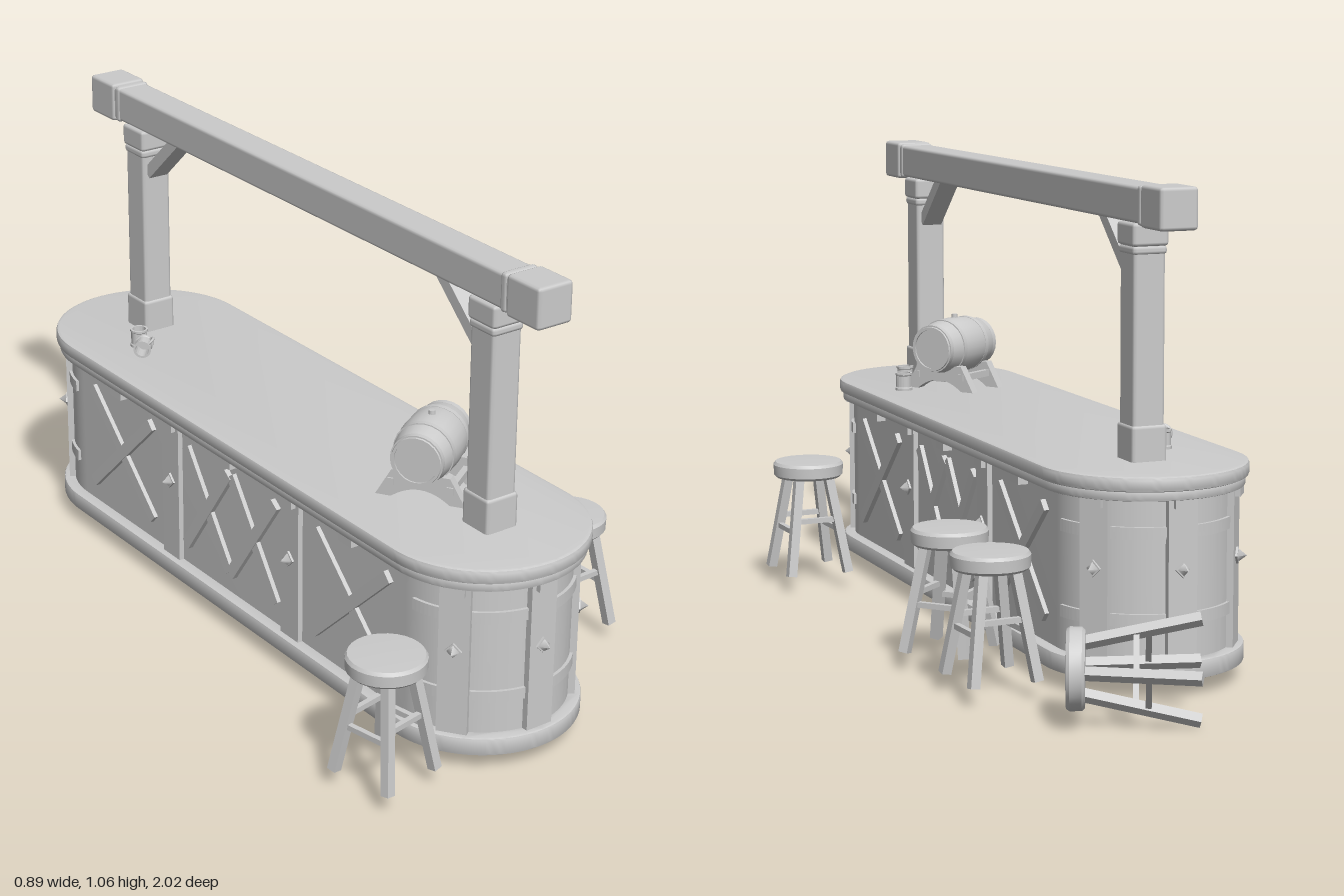
import * as THREE from 'three';
import { toCreasedNormals } from 'three/addons/utils/BufferGeometryUtils.js';
import { RoundedBoxGeometry } from 'three/addons/geometries/RoundedBoxGeometry.js';

const material = new THREE.MeshStandardMaterial({ color: 0xcccccc });
const UP = new THREE.Vector3(0, 1, 0);
const V = (x, y, z) => new THREE.Vector3(x, y, z);
const HALF = 0.63; // half of the straight part of the counter

function add(parent, name, geometry, x = 0, y = 0, z = 0) {
  const mesh = new THREE.Mesh(geometry, material);
  mesh.name = name;
  mesh.position.set(x, y, z);
  parent.add(mesh);
  return mesh;
}

function group(parent, name, x = 0, y = 0, z = 0) {
  const g = new THREE.Group();
  g.name = name;
  g.position.set(x, y, z);
  parent.add(g);
  return g;
}

// Square bar running from a to b
function bar(parent, name, a, b, w, d = w) {
  const dir = b.clone().sub(a);
  const mesh = add(parent, name, new THREE.BoxGeometry(w, dir.length(), d));
  mesh.position.copy(a).add(b).multiplyScalar(0.5);
  mesh.quaternion.setFromUnitVectors(UP, dir.normalize());
  return mesh;
}

const lathe = (points, sides) => toCreasedNormals(
  new THREE.LatheGeometry(points.map(p => new THREE.Vector2(...p)), sides), 0.6);

// Long outline with round ends
function outline(r, target = new THREE.Shape()) {
  target.absarc(0, HALF, r, 0, Math.PI);
  target.absarc(0, -HALF, r, Math.PI, Math.PI * 2);
  target.closePath();
  return target;
}

// Slab or hollow ring of the outline between heights y0 and y1
function slab(parent, name, r, y0, y1, bevel = 0, inner = 0) {
  const shape = outline(r - bevel);
  if (inner) shape.holes.push(outline(inner, new THREE.Path()));
  const geometry = new THREE.ExtrudeGeometry(shape, {
    depth: y1 - y0 - 2 * bevel, curveSegments: 32, bevelEnabled: bevel > 0,
    bevelSize: bevel, bevelThickness: bevel, bevelSegments: 2,
  });
  geometry.translate(0, 0, bevel).rotateX(-Math.PI / 2);
  add(parent, name, toCreasedNormals(geometry, 0.5), 0, y0, 0);
}

// Group on the counter wall whose local +z points outward
function wallSpot(parent, name, phi, z0, r = 0.195) {
  const g = group(parent, name, r * Math.sin(phi), 0, z0 + r * Math.cos(phi));
  g.rotation.y = phi;
  return g;
}

function wallPost(parent, phi, z0) {
  const g = wallSpot(parent, 'wallPost', phi, z0);
  add(g, 'postBoard', new THREE.BoxGeometry(0.066, 0.35, 0.024), 0, 0.215, 0);
  add(g, 'topBracket', new THREE.BoxGeometry(0.045, 0.02, 0.03), 0, 0.38, 0.008);
  add(g, 'studPlate', new THREE.BoxGeometry(0.026, 0.026, 0.006), 0, 0.24, 0.014).rotation.z = Math.PI / 4;
  add(g, 'stud', new THREE.ConeGeometry(0.014, 0.018, 4).toNonIndexed(), 0, 0.24, 0.026)
    .rotation.x = Math.PI / 2;
}

function crossPanel(parent, side, z0, width, crosses) {
  const g = wallSpot(parent, 'crossPanel', side * Math.PI / 2, z0);
  const step = width / crosses;
  for (let i = 0; i < crosses; i++) {
    const c = -width / 2 + step * (i + 0.5);
    for (const s of [-1, 1]) {
      bar(g, 'crossBrace', V(c - s * step * 0.48, 0.1, s * 0.001),
        V(c + s * step * 0.48, 0.345, s * 0.001), 0.028, 0.022);
    }
  }
  add(g, 'topBracket', new THREE.BoxGeometry(0.045, 0.02, 0.03), 0, 0.38, 0.008);
}

// Curved strap around a round end
function strap(parent, end, from, to, y) {
  const shape = new THREE.Shape();
  shape.absarc(0, 0, 0.202, from, to, false);
  shape.absarc(0, 0, 0.183, to, from, true);
  const geometry = new THREE.ExtrudeGeometry(shape, { depth: 0.026, bevelEnabled: false, curveSegments: 10 });
  geometry.rotateX(-Math.PI / 2);
  add(parent, 'strap', toCreasedNormals(geometry, 0.5), 0, y, end * HALF);
}

function makeCounter(root) {
  const g = group(root, 'counter', -0.022, 0, 0.13);
  slab(g, 'plinth', 0.222, 0.006, 0.046, 0.004, 0.19);
  slab(g, 'wall', 0.195, 0.03, 0.4, 0, 0.186);
  slab(g, 'topLip', 0.222, 0.388, 0.41, 0.004);
  slab(g, 'counterTop', 0.23, 0.408, 0.44, 0.007);
  const tilt = 0.93;
  for (const end of [-1, 1]) {
    const base = end > 0 ? 0 : Math.PI;
    for (const a of [-tilt, 0, tilt]) wallPost(g, base + a, end * HALF);
    // Straps fill the gaps between the end posts
    for (const y of [0.12, 0.304]) {
      for (const a of [-1.43, -0.76, 0.17, 1.1]) {
        const c = -end * Math.PI / 2 + a;
        strap(g, end, c, c + (Math.abs(a) > 1 ? 0.33 : 0.59), y);
      }
    }
  }
  for (const side of [-1, 1]) {
    for (const z of [-0.235, 0.235]) wallPost(g, side * Math.PI / 2, z);
    crossPanel(g, side, 0, 0.36, 2);
    for (const z of [-0.45, 0.45]) crossPanel(g, side, z, 0.27, 1);
  }
}

function makeFrame(root) {
  const g = group(root, 'overheadFrame', -0.02, 0, 0.138);
  const block = (name, w, h, d, y, z) =>
    add(g, name, new RoundedBoxGeometry(w, h, d, 1, 0.008), 0, y, z);
  block('beam', 0.078, 0.078, 1.6, 0.984, 0);
  for (const s of [-1, 1]) {
    const z = s * 0.645;
    block('beamEnd', 0.088, 0.09, 0.1, 0.984, s * 0.772);
    block('beamBand', 0.084, 0.085, 0.02, 0.984, s * 0.71);
    block('post', 0.074, 0.49, 0.074, 0.69, z);
    block('postFoot', 0.082, 0.085, 0.084, 0.475, z);
    block('postNeck', 0.08, 0.02, 0.08, 0.887, z);
    block('postCap', 0.084, 0.05, 0.086, 0.92, z);
    bar(g, 'brace', V(0, 0.84, s * 0.61), V(0, 0.955, s * 0.485), 0.05, 0.028);
  }
}

function makeStool(root, x, y, z, turn) {
  const g = group(root, 'stool', x, y, z);
  g.rotation.y = turn;
  add(g, 'seat', lathe([[0, 0.232], [0.078, 0.232], [0.084, 0.238], [0.085, 0.263],
    [0.08, 0.27], [0, 0.273]], 28));
  const leg = (i, h) => {
    const a = (i + 0.5) * Math.PI / 2;
    const r = 0.103 - 0.05 * h / 0.235;
    return V(r * Math.cos(a), h, r * Math.sin(a));
  };
  for (let i = 0; i < 4; i++) {
    bar(g, 'leg', leg(i, 0), leg(i, 0.236), 0.021);
    const h = i % 2 ? 0.105 : 0.13;
    bar(g, 'rung', leg(i, h), leg(i + 1, h), 0.012);
  }
  return g;
}

function makeMug(root, x, y, z, turn) {
  const g = group(root, 'mug', x, y, z);
  g.rotation.y = turn;
  add(g, 'cup', lathe([[0, 0], [0.021, 0], [0.021, 0.006], [0.019, 0.008], [0.019, 0.036],
    [0.021, 0.038], [0.021, 0.043], [0.016, 0.043], [0.016, 0.005], [0, 0.005]], 18));
  add(g, 'handle', new THREE.TorusGeometry(0.013, 0.0035, 6, 14, Math.PI), 0.018, 0.022, 0)
    .rotation.z = -Math.PI / 2;
  return g;
}

function makeBarrel(root) {
  // Local x runs along the barrel
  const g = group(root, 'barrelOnCradle', -0.02, 0.44, 0.585);
  g.rotation.y = 0.58;
  const points = [[0, -0.09], [0.048, -0.09], [0.048, -0.1]];
  for (let i = -5; i <= 5; i++) points.push([0.069 - 0.015 * (i / 5) ** 2, i * 0.02]);
  points.push([0.048, 0.1], [0.048, 0.09], [0, 0.09]);
  add(g, 'barrel', lathe(points, 24), 0, 0.105, 0).rotation.z = Math.PI / 2;
  for (const x of [-0.09, -0.045, 0.045, 0.09]) {
    const r = 0.0705 - 0.015 * (x / 0.1) ** 2;
    add(g, 'hoop', new THREE.CylinderGeometry(r, r, 0.012, 24), x, 0.105, 0).rotation.z = Math.PI / 2;
  }
  add(g, 'bung', new THREE.CylinderGeometry(0.007, 0.008, 0.012, 10), 0, 0.176, 0);
  // Arched cradle supports with a hollow for the barrel
  const arch = new THREE.Shape();
  arch.moveTo(-0.1, 0);
  arch.lineTo(-0.065, 0);
  arch.quadraticCurveTo(0, 0.05, 0.065, 0);
  arch.lineTo(0.1, 0);
  arch.lineTo(0.065, 0.062);
  arch.lineTo(0.048, 0.062);
  arch.quadraticCurveTo(0, 0.03, -0.048, 0.062);
  arch.lineTo(-0.065, 0.062);
  arch.closePath();
  for (const x of [-0.055, 0.055]) {
    const geometry = new THREE.ExtrudeGeometry(arch, { depth: 0.022, bevelEnabled: false });
    geometry.translate(0, 0, -0.011);
    add(g, 'cradleSupport', geometry, x, 0, 0).rotation.y = Math.PI / 2;
  }
  for (const z of [-0.066, 0.066]) {
    add(g, 'cradleRail', new THREE.BoxGeometry(0.14, 0.016, 0.014), 0, 0.035, z);
  }
}

export function createModel() {
  const root = new THREE.Group();
  root.name = 'barCounter';
  makeCounter(root);
  makeFrame(root);
  makeBarrel(root);

  // Standing stools and one knocked over
  makeStool(root, 0.34, 0.008, -0.54, 0.05);
  makeStool(root, 0.33, 0.008, -0.28, 0.72);
  makeStool(root, 0.36, 0.008, 0.6, 0.03);
  makeStool(root, -0.345, 0.008, 0.865, 0.2);
  const fallen = makeStool(root, 0.043, 0.086, -0.927, 0);
  fallen.name = 'fallenStool';
  fallen.quaternion.setFromUnitVectors(UP, V(0.906, 0, 0.42).normalize());
  fallen.rotateY(0.43);

  // Mugs, one tipped over
  makeMug(root, 0.115, 0.44, 0.585, -2.4);
  makeMug(root, 0.073, 0.44, 0.69, -1.5);
  makeMug(root, -0.115, 0.44, -0.41, 1.1);
  const tipped = makeMug(root, -0.122, 0.461, -0.375, 0);
  tipped.quaternion.setFromUnitVectors(UP, V(-0.65, 0, 0.76).normalize());
  return root;
}
